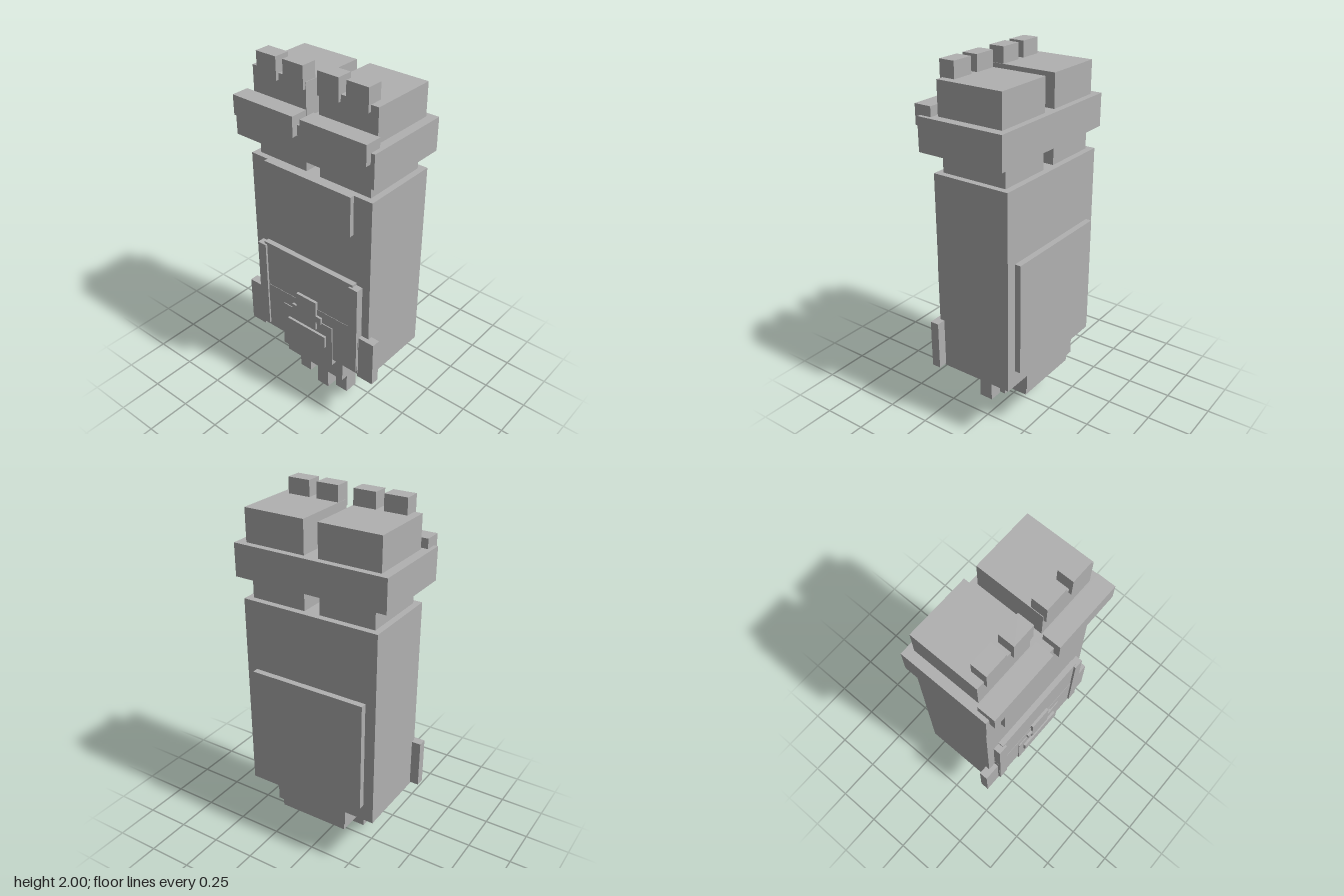
import * as THREE from 'three';

export function createModel() {
  const model = new THREE.Group();
  const grey = new THREE.MeshStandardMaterial({ color: 0xb0b0b0 });
  grey.name = 'plain grey';

  // Box given by its lower and upper bounds on each axis
  function box(name, x0, x1, y0, y1, z0, z1) {
    const mesh = new THREE.Mesh(new THREE.BoxGeometry(x1 - x0, y1 - y0, z1 - z0), grey);
    mesh.position.set((x0 + x1) / 2, (y0 + y1) / 2, (z0 + z1) / 2);
    mesh.name = name;
    model.add(mesh);
  }
  const centred = (name, w, ...yz) => box(name, -w, w, ...yz);
  function pair(name, x0, x1, ...yz) {
    box(name + 'Left', x0, x1, ...yz);
    box(name + 'Right', -x1, -x0, ...yz);
  }

  // Main body and stepped underside
  centred('body', 0.39, 0.345, 1.45, -0.245, 0.197);
  centred('baseStep', 0.22, 0.26, 0.345, -0.245, 0.197);
  centred('basePlate', 0.203, 0.205, 0.26, -0.226, 0.18);

  // Three prongs
  pair('outerProng', 0.098, 0.177, 0.046, 0.205, 0.027, 0.107);
  centred('middleProng', 0.04, 0, 0.205, 0.033, 0.111);

  // Necks, collar and twin top blocks
  pair('neck', 0.044, 0.356, 1.45, 1.56, -0.21, 0.165);
  centred('collar', 0.433, 1.56, 1.738, -0.247, 0.247);
  pair('topBlock', 0.04, 0.383, 1.738, 1.915, -0.212, 0.162);
  pair('frontBar', 0.023, 0.411, 1.683, 1.79, 0.182, 0.279);
  pair('innerStud', 0.043, 0.169, 1.88, 2, 0.092, 0.178);
  pair('outerStud', 0.213, 0.339, 1.88, 2, 0.092, 0.178);

  // Plates on the chest and back
  centred('chestPlate', 0.28, 1.228, 1.45, 0.19, 0.222);
  centred('backPanel', 0.332, 0.44, 1.06, -0.279, -0.24);

  // Layered lower front panel
  centred('upperFrontPanel', 0.305, 0.67, 0.952, 0.19, 0.228);
  centred('lowerFrontPanel', 0.345, 0.38, 0.675, 0.19, 0.23);
  centred('innerFrontPanel', 0.174, 0.34, 0.6, 0.19, 0.235);
  pair('sideStrip', 0.287, 0.344, 0.4, 0.938, 0.19, 0.24);

  // Raised cross and bar
  centred('crossUpright', 0.068, 0.543, 0.725, 0.22, 0.244);
  centred('crossArm', 0.103, 0.595, 0.635, 0.22, 0.243);
  centred('crossBar', 0.134, 0.452, 0.525, 0.22, 0.249);

  // Side flaps
  pair('sideFlap', 0.34, 0.441, 0.355, 0.625, 0.172, 0.222);

  return model;
}
